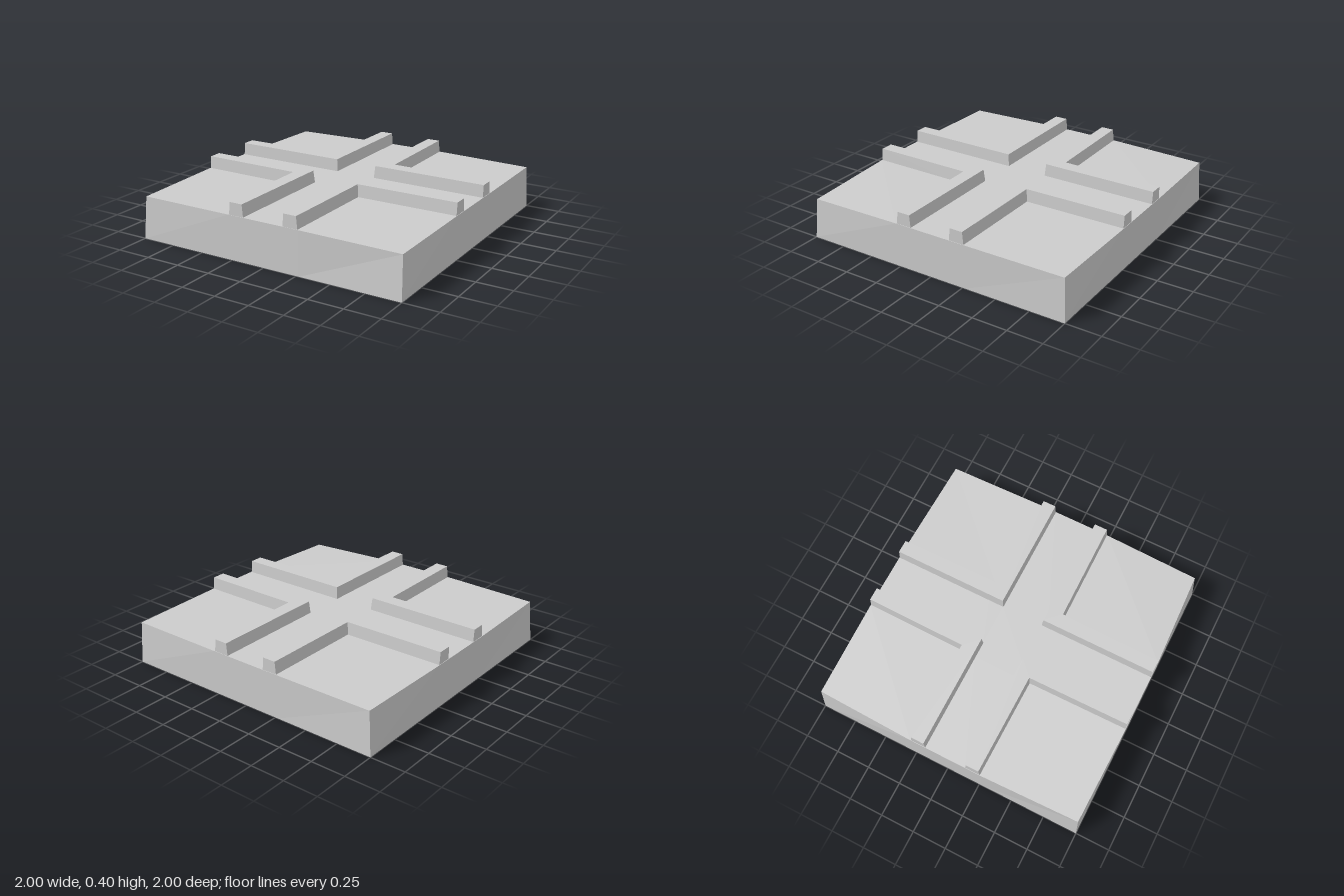
import * as THREE from 'three';

const material = new THREE.MeshStandardMaterial({ color: 0xcccccc, flatShading: true });

// Square slab: edges split where the curbs meet them, top corners slightly worn
function slabGeometry() {
  const breaks = [-1, -0.27, -0.155, 0.155, 0.27, 1];
  const geo = new THREE.BoxGeometry(2, 0.312, 2, 5, 1, 5).translate(0, 0.156, 0);
  const pos = geo.attributes.position;
  const snap = (v) => breaks[Math.round((v + 1) / 0.4)];
  for (let i = 0; i < pos.count; i++) {
    let x = snap(pos.getX(i));
    let y = pos.getY(i);
    let z = snap(pos.getZ(i));
    if (y > 0.1 && Math.abs(x) === 1 && Math.abs(z) === 1) {
      y = x > 0 && z > 0 ? 0.295 : 0.305;
      x *= x > 0 ? 0.987 : 0.978;
      z *= x > 0 && z > 0 ? 0.972 : 0.985;
    }
    pos.setXYZ(i, x, y, z);
  }
  geo.computeVertexNormals();
  return geo;
}

// L-shaped curb with sloping sides, swept from one tile edge round to the next
function curbGeometry(sx, sz) {
  const profile = [[0.151, 0.295], [0.16, 0.4], [0.262, 0.4], [0.272, 0.295]];
  const end = 0.997;
  const taper = (d) => (d > 0.2 ? d - 0.007 : d);
  const stations = [
    (d) => [end, taper(d)],
    (d) => [d, d],
    (d) => [taper(d), end],
  ];
  const points = [];
  for (const at of stations) {
    for (const [d, y] of profile) {
      const [x, z] = at(d);
      points.push(sx * x, y, sz * z);
    }
  }
  const index = [];
  const tri = (a, b, c) => (sx * sz > 0 ? index.push(a, b, c) : index.push(a, c, b));
  for (let s = 0; s < 2; s++) {
    for (let j = 0; j < 4; j++) {
      const a = s * 4 + j;
      const b = s * 4 + ((j + 1) % 4);
      tri(a, a + 4, b);
      tri(b, a + 4, b + 4);
    }
  }
  // End caps
  tri(0, 1, 2);
  tri(0, 2, 3);
  tri(8, 10, 9);
  tri(8, 11, 10);

  const geo = new THREE.BufferGeometry();
  geo.setAttribute('position', new THREE.Float32BufferAttribute(points, 3));
  geo.setIndex(index);
  const flat = geo.toNonIndexed();
  flat.computeVertexNormals();
  return flat;
}

export function createModel() {
  const model = new THREE.Group();
  model.name = 'crossroadsTile';

  const slab = new THREE.Mesh(slabGeometry(), material);
  slab.name = 'baseSlab';
  model.add(slab);

  // One curb per corner plot
  for (const sx of [-1, 1]) {
    for (const sz of [-1, 1]) {
      const curb = new THREE.Mesh(curbGeometry(sx, sz), material);
      curb.name = (sz > 0 ? 'front' : 'back') + (sx > 0 ? 'Left' : 'Right') + 'Curb';
      model.add(curb);
    }
  }
  return model;
}
